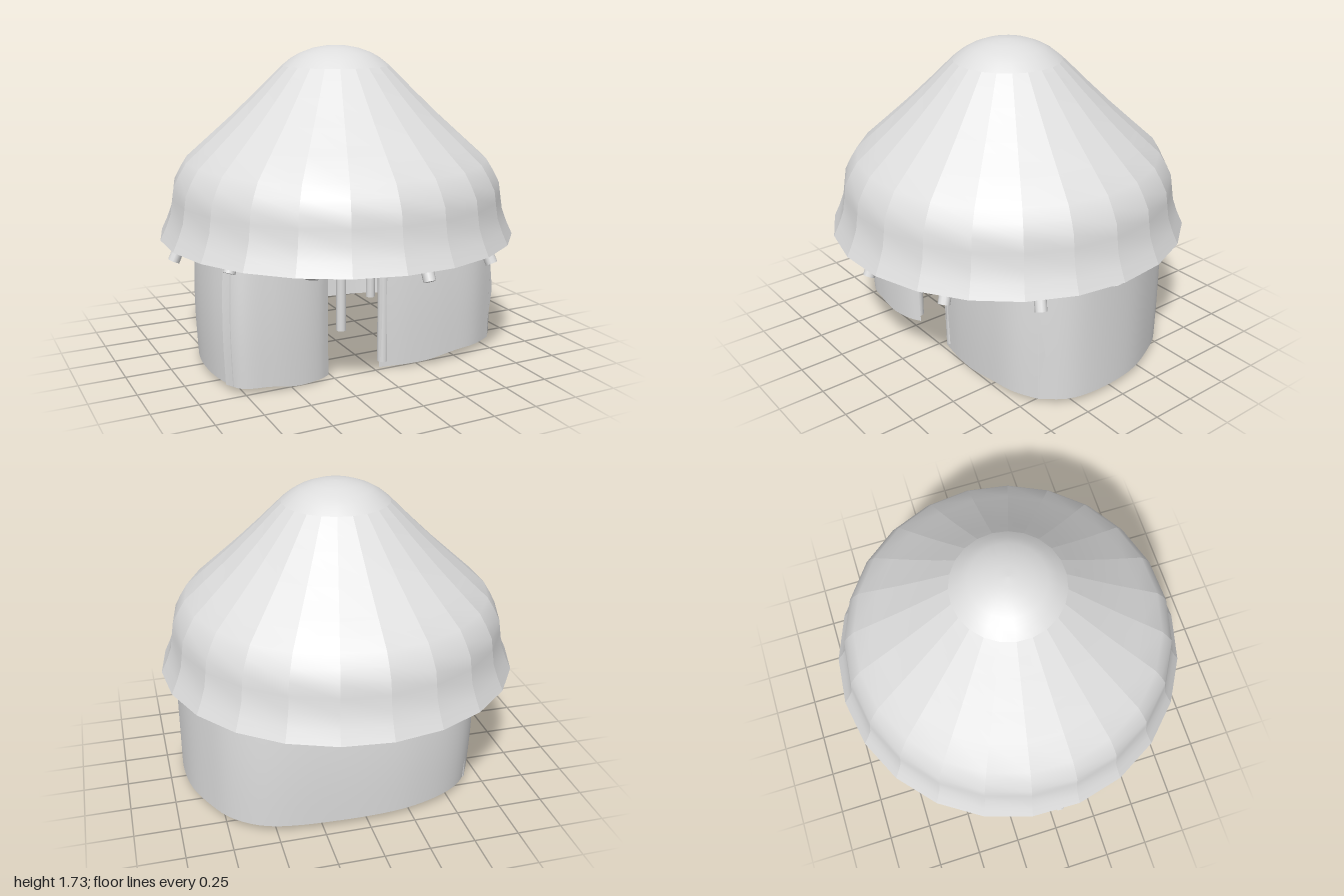
import * as THREE from 'three';
import { mergeGeometries } from 'three/addons/utils/BufferGeometryUtils.js';

const clay = new THREE.MeshStandardMaterial({ color: 0xdedede, side: THREE.DoubleSide });
clay.name = 'pale clay';

const V2 = (a) => a.map(([x, y]) => new THREE.Vector2(x, y));
const V3 = (x, y, z) => new THREE.Vector3(x, y, z);

function add(group, name, geometry) {
  const mesh = new THREE.Mesh(geometry, clay);
  mesh.name = name;
  group.add(mesh);
  return mesh;
}

// Round pole between two points
function pole(group, name, a, b, radius) {
  const dir = b.clone().sub(a);
  const mesh = add(group, name, new THREE.CylinderGeometry(radius, radius, dir.length(), 12));
  mesh.position.copy(a).lerp(b, 0.5);
  mesh.quaternion.setFromUnitVectors(V3(0, 1, 0), dir.normalize());
}

// Upright sheet that follows a plan curve; bottom(t) shapes its foot and rag(y) its far end
function wall(group, name, plan, bottom, rag = () => 0) {
  const curve = new THREE.CatmullRomCurve3(plan.map(([x, z]) => V3(x, 0, z)), false, 'centripetal');
  const length = curve.getLength();
  const geo = new THREE.PlaneGeometry(1, 1, plan.length * 5, 12);
  const pos = geo.attributes.position;
  for (let i = 0; i < pos.count; i++) {
    const u = pos.getX(i) + 0.5;
    const v = pos.getY(i) + 0.5;
    const y = THREE.MathUtils.lerp(bottom(u), 0.71, v);
    const p = curve.getPointAt(Math.min(1, u * (1 - rag(y) / length)));
    const bulge = 1 + 0.015 * Math.sin(v * Math.PI);
    pos.setXYZ(i, p.x * (p.x < 0 ? bulge : 1), y, p.z * bulge);
  }
  geo.computeVertexNormals();
  add(group, name, geo);
}

export function createModel() {
  const hut = new THREE.Group();
  hut.name = 'hut';

  // Roof: 23 gores, curved up the slope with a crease between neighbours
  const sides = 23;
  const step = (Math.PI * 2) / sides;
  const phi0 = THREE.MathUtils.degToRad(88.3);
  const slope = V2([[1, 0.687], [0.968, 0.755], [0.94, 0.83], [0.928, 0.91], [0.918, 0.98],
    [0.885, 1.045], [0.845, 1.11], [0.72, 1.222], [0.58, 1.348], [0.44, 1.482], [0.36, 1.562], [0.3, 1.62]]);
  const gores = [];
  for (let i = 0; i < sides; i++) {
    const gore = new THREE.LatheGeometry(slope, 1, phi0 + i * step, step);
    gore.computeVertexNormals();
    gores.push(gore);
  }
  add(hut, 'roof', mergeGeometries(gores));

  // Smooth cap on the peak
  const cap = V2([[0.3, 1.62], [0.25, 1.66], [0.2, 1.688], [0.13, 1.714], [0.06, 1.727], [0, 1.73]]);
  add(hut, 'roofCap', new THREE.LatheGeometry(cap, sides, phi0));

  // Wall round the sides and back
  wall(hut, 'sideAndBackWall',
    [[0.79, 0.41], [0.885, 0.28], [0.918, 0.12], [0.9, -0.15], [0.82, -0.36], [0.72, -0.52], [0.55, -0.635],
      [0.19, -0.685], [-0.28, -0.66], [-0.59, -0.52], [-0.76, -0.24], [-0.83, 0], [-0.835, 0.25], [-0.795, 0.44]],
    () => 0.03);

  // Front walls either side of the doorway
  wall(hut, 'frontWallRight',
    [[-0.82, 0.39], [-0.76, 0.48], [-0.6, 0.515], [-0.42, 0.51], [-0.32, 0.485], [-0.265, 0.455]],
    (t) => 0.03 - 0.025 * THREE.MathUtils.smoothstep(t, 0.35, 0.7));
  wall(hut, 'frontWallLeft',
    [[0.035, 0.47], [0.2, 0.495], [0.45, 0.5], [0.65, 0.475], [0.825, 0.39]],
    (t) => 0.03 * THREE.MathUtils.smoothstep(t, 0.3, 0.7),
    (y) => 0.035 * Math.min(1, Math.abs(y - 0.32) / 0.18));

  // Posts, with beams joining their tops
  const ring = [[0.065, 0.455], [0.75, 0.36], [0.74, 0.02], [0.53, -0.56], [-0.18, -0.62],
    [-0.63, -0.44], [-0.78, 0], [-0.74, 0.44], [-0.31, 0.44]];
  ring.forEach(([x, z], i) => {
    pole(hut, 'post', V3(x, 0.03, z), V3(x, 0.74, z), 0.03);
    const [nx, nz] = ring[(i + 1) % ring.length];
    pole(hut, 'ringBeam', V3(x, 0.74, z), V3(nx, 0.74, nz), 0.022);
  });
  pole(hut, 'centrePost', V3(0.07, 0.03, -0.07), V3(0.07, 0.74, -0.07), 0.03);
  pole(hut, 'crossBeam', V3(0.74, 0.74, 0.02), V3(-0.78, 0.74, 0), 0.022);

  // Rafters: each bends under the shoulder of the roof and pokes out at the eaves
  // (direction in degrees, height of the lower tip)
  const rafters = [[87, 0.625], [57, 0.62], [28, 0.605], [2, 0.65], [-33, 0.665], [-58, 0.7], [-90, 0.71],
    [-125, 0.71], [-153, 0.66], [180, 0.61], [150, 0.65], [123, 0.665]];
  for (const [deg, tip] of rafters) {
    const a = THREE.MathUtils.degToRad(deg);
    const path = [[0.955 + (0.625 - tip) * 0.49, tip], [0.86, 0.83], [0.785, 1.06], [0.1, 1.62]];
    const pts = path.map(([r, y]) => V3(r * Math.cos(a), y, r * Math.sin(a)));
    for (let i = 0; i < 3; i++) pole(hut, 'rafter', pts[i], pts[i + 1], 0.032);
  }
  return hut;
}
